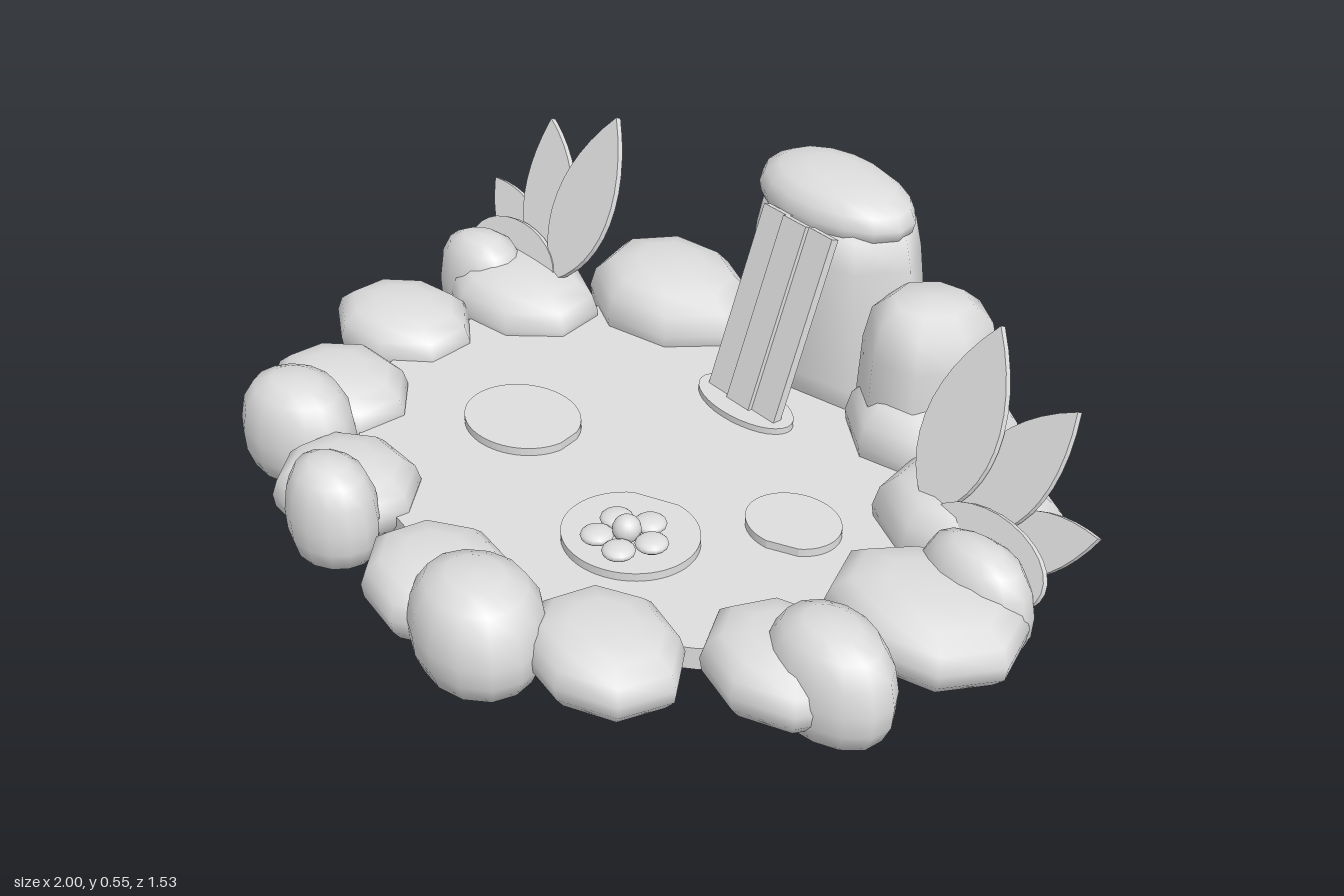
import * as THREE from 'three';
import { mergeVertices } from 'three/addons/utils/BufferGeometryUtils.js';

// Profiles as [radius, height], both relative to 1
const BOULDER = [[0, 0], [0.84, 0], [0.97, 0.2], [1, 0.42], [0.93, 0.68], [0.74, 0.88], [0.42, 0.98], [0, 1]];
const TOWER = [[0, 0], [1, 0], [1, 0.2], [0.96, 0.5], [0.89, 0.78], [0.82, 0.92], [0.55, 0.99], [0, 1]];
const PILLAR = [[0, 0], [1, 0], [1, 0.35], [0.95, 0.68], [0.84, 0.88], [0.55, 0.98], [0, 1]];

export function createModel() {
  const root = new THREE.Group();
  root.name = 'rockPond';
  const stone = new THREE.MeshStandardMaterial({ color: 0xdddddd });
  stone.name = 'pale grey';

  const add = (name, geometry, x = 0, y = 0, z = 0, parent = root) => {
    const mesh = new THREE.Mesh(geometry, stone);
    mesh.name = name;
    mesh.position.set(x, y, z);
    parent.add(mesh);
    return mesh;
  };

  // Slightly irregular stone, turned from a profile and smoothed
  const rock = (name, [x, z, rx, rz, y0, y1], sides, profile, seed) => {
    let g = new THREE.LatheGeometry(profile.map(p => new THREE.Vector2(...p)), sides);
    g.deleteAttribute('uv');
    g.deleteAttribute('normal');
    g.rotateY(seed * 0.7);
    const p = g.attributes.position;
    for (let i = 0; i < p.count; i++) {
      const a = Math.atan2(p.getZ(i), p.getX(i));
      const k = 1 + 0.03 * Math.sin(2 * a + seed) + 0.02 * Math.sin(3 * a + seed * 2);
      p.setXYZ(i, p.getX(i) * k * rx, p.getY(i) * (y1 - y0), p.getZ(i) * k * rz);
    }
    g = mergeVertices(g, 1e-4);
    g.computeVertexNormals();
    return add(name, g, x, y0, z);
  };

  // Water
  const water = add('water', new THREE.CylinderGeometry(1, 1, 0.05, 48), 0, 0.045, 0);
  water.scale.set(0.73, 1, 0.55);

  // Ring of rim stones: x, z, radius x, radius z, bottom, top
  [
    [-0.48, -0.46, 0.22, 0.18, 0.02, 0.2],
    [-0.73, -0.2, 0.21, 0.16, 0.02, 0.17],
    [-0.79, 0.09, 0.18, 0.15, 0.02, 0.15],
    [-0.63, 0.37, 0.18, 0.15, 0.02, 0.15],
    [-0.3, 0.56, 0.17, 0.15, 0.02, 0.15],
    [0.1, 0.6, 0.185, 0.15, 0.02, 0.15],
    [0.48, 0.48, 0.18, 0.15, 0.02, 0.15],
    [0.72, 0.24, 0.18, 0.15, 0.02, 0.15],
    [0.78, -0.07, 0.22, 0.17, 0.02, 0.16],
    [0.62, -0.35, 0.21, 0.175, 0.02, 0.2],
    [0.31, -0.54, 0.21, 0.175, 0.02, 0.2],
  ].forEach((s, i) => rock('rimStone', s, 8, BOULDER, i + 1));

  // Smaller rounded stones leaning on the ring
  [
    [-0.84, -0.17, 0.12, 0.09, 0, 0.21],
    [-0.55, 0.52, 0.15, 0.11, 0, 0.21],
    [-0.23, 0.64, 0.12, 0.088, 0, 0.21],
    [0.275, 0.63, 0.16, 0.13, 0, 0.21],
    [0.81, 0.205, 0.15, 0.11, 0, 0.21],
    [0.8, -0.18, 0.135, 0.085, 0, 0.21],
  ].forEach((s, i) => rock('smallStone', s, 14, BOULDER, i + 3));

  // Waterfall rocks
  rock('waterfallRock', [-0.06, -0.595, 0.255, 0.17, 0.02, 0.5], 8, TOWER, 0);
  rock('sideRock', [0.27, -0.56, 0.15, 0.155, 0.02, 0.39], 8, PILLAR, 2);
  rock('capStone', [-0.07, -0.59, 0.21, 0.135, 0.44, 0.55], 16, BOULDER, 1);

  // Falling water: three leaning strips, the middle one proud
  const fall = new THREE.Group();
  fall.name = 'waterfall';
  fall.position.set(-0.03, 0.28, -0.375);
  fall.rotation.x = -0.36;
  root.add(fall);
  [-1, 0, 1].forEach(i =>
    add('waterStrip', new THREE.BoxGeometry(0.073, 0.43, 0.02), i * 0.073, 0, i ? 0 : 0.01, fall));
  const splash = add('splashRing', new THREE.CylinderGeometry(1, 1, 0.015, 32), -0.03, 0.077, -0.305);
  splash.scale.set(0.14, 1, 0.068);

  // Lily pads: x, z, radius x, radius z, notch start and end in degrees
  [
    [-0.28, 0.12, 0.14, 0.12, 0, 25],
    [0.215, 0.21, 0.15, 0.138, 95, 137],
    [0.39, -0.075, 0.108, 0.092, -80, -40],
  ].forEach(([x, z, rx, rz, a0, a1]) => {
    const shape = new THREE.Shape();
    shape.moveTo(0, 0);
    shape.absarc(0, 0, 1, THREE.MathUtils.degToRad(a1), THREE.MathUtils.degToRad(a0 + 360), false);
    shape.closePath();
    const g = new THREE.ExtrudeGeometry(shape, { depth: 0.018, bevelEnabled: false, curveSegments: 28 });
    g.scale(rx, rz, 1);
    g.rotateX(-Math.PI / 2);
    add('lilyPad', g, x, 0.07, z);
  });

  // Flower
  const flower = new THREE.Group();
  flower.name = 'flower';
  flower.position.set(0.235, 0.1, 0.235);
  root.add(flower);
  for (let i = 0; i < 5; i++) {
    const a = Math.PI / 2 + i * Math.PI * 0.4;
    const petal = add('petal', new THREE.SphereGeometry(0.035, 14, 10),
      Math.cos(a) * 0.06, 0.005, -Math.sin(a) * 0.06, flower);
    petal.scale.y = 0.45;
  }
  add('flowerCentre', new THREE.SphereGeometry(0.03, 16, 12), 0, 0.018, 0, flower);

  // Pointed leaf plate from its base to its tip
  const leafGeometry = (length, width) => {
    const s = new THREE.Shape();
    const w = width * 0.67;
    s.moveTo(0, 0);
    s.bezierCurveTo(w, length * 0.22, w, length * 0.62, 0, length);
    s.bezierCurveTo(-w, length * 0.62, -w, length * 0.22, 0, 0);
    return new THREE.ExtrudeGeometry(s, { depth: 0.014, bevelEnabled: false, curveSegments: 12 });
  };

  // Leaf clumps on both sides, leaning back; base u, v to tip u, v
  [[-0.8, 1], [0.77, -1]].forEach(([x, side]) => {
    const clump = new THREE.Group();
    clump.name = side > 0 ? 'rightLeaves' : 'leftLeaves';
    clump.position.set(x, 0.1, -0.245);
    clump.rotation.x = -0.46;
    root.add(clump);
    [
      [0.16, 0.04, 0.17, 0.45, 0.19, 0.02],
      [0.1, 0.04, -0.06, 0.37, 0.17, 0],
      [0.06, 0.02, -0.2, 0.17, 0.13, -0.02],
    ].forEach(([u0, v0, u1, v1, width, z]) => {
      const du = (u1 - u0) * side, dv = v1 - v0;
      const leaf = add('leaf', leafGeometry(Math.hypot(du, dv), width), u0 * side, v0, z, clump);
      leaf.rotation.z = Math.atan2(-du, dv);
    });
    // Low broad leaf at the foot of the clump
    const foot = add('footLeaf', new THREE.CylinderGeometry(1, 1, 0.014, 28), 0, 0.03, 0.03, clump);
    foot.rotation.x = Math.PI / 2;
    foot.scale.set(0.16, 1, 0.09);
  });

  return root;
}
